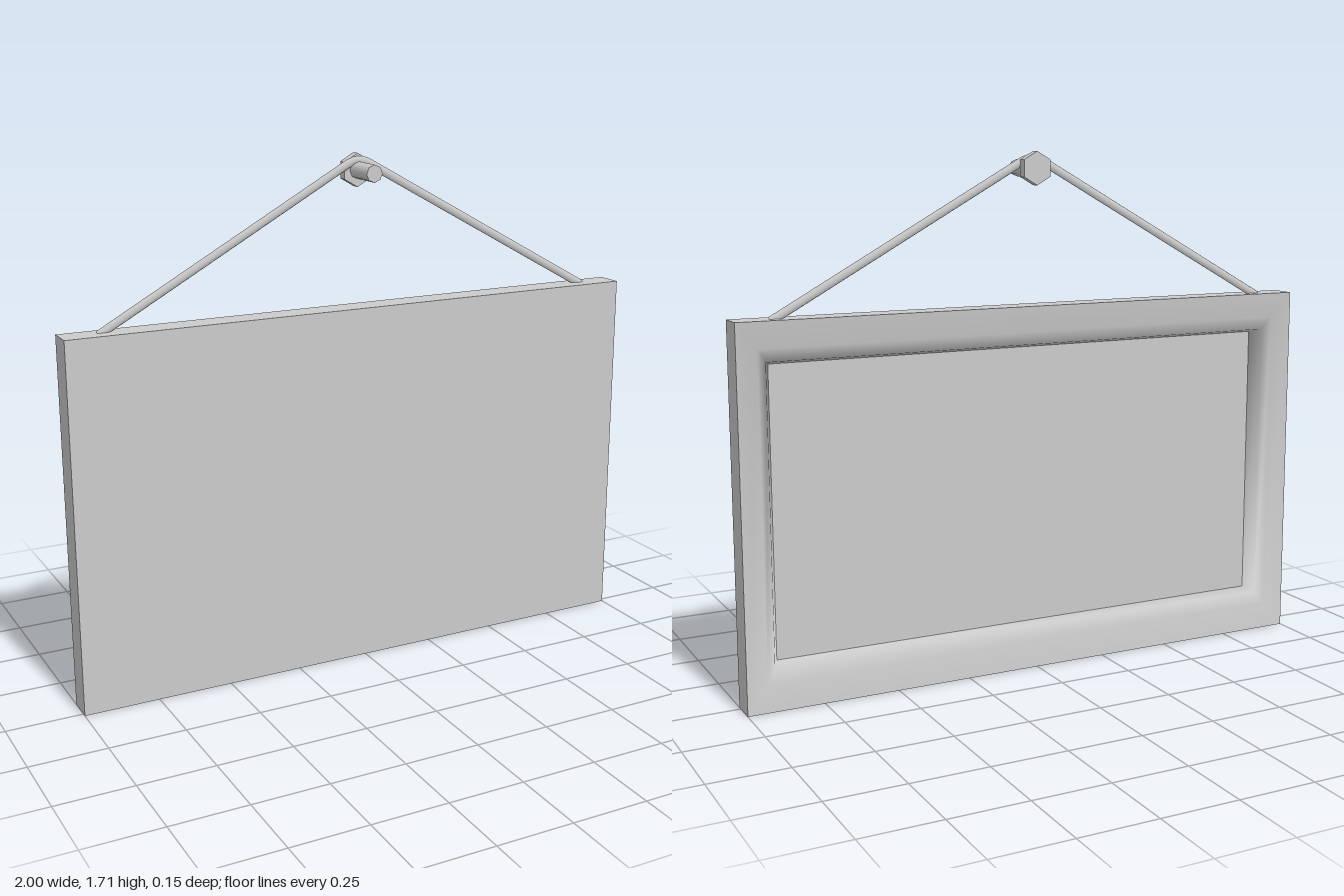
import * as THREE from 'three';

const W = 1, H = 1.215, BACK = -0.075;
const material = new THREE.MeshStandardMaterial({ color: 0xcccccc });

function add(parent, name, geometry, x = 0, y = 0, z = 0) {
  const mesh = new THREE.Mesh(geometry, material);
  mesh.name = name;
  mesh.position.set(x, y, z);
  parent.add(mesh);
  return mesh;
}

// Skin of rectangular rings, each given as [side inset, top and bottom inset, z]
function rectangularRings(profile) {
  const positions = [], index = [];
  for (const [ix, iy, z] of profile) {
    const x = W - ix;
    positions.push(-x, iy, z, x, iy, z, x, H - iy, z, -x, H - iy, z);
  }
  for (let r = 0; r < profile.length - 1; r++) {
    for (let i = 0; i < 4; i++) {
      const a = r * 4 + i, b = r * 4 + (i + 1) % 4;
      index.push(a, b + 4, b, a, a + 4, b + 4);
    }
  }
  const geometry = new THREE.BufferGeometry();
  geometry.setAttribute('position', new THREE.Float32BufferAttribute(positions, 3));
  geometry.setIndex(index);
  geometry.computeVertexNormals();
  return geometry;
}

function flat(geometry) {
  const g = geometry.toNonIndexed();
  g.computeVertexNormals();
  return g;
}

export function createModel() {
  const model = new THREE.Group();
  model.name = 'hangingSign';

  // Board: front panel, outer walls and softly sloped back moulding
  const board = new THREE.Group();
  board.name = 'board';
  model.add(board);
  add(board, 'frontPanel', new THREE.BoxGeometry(2 * W, H, 0.015), 0, H / 2, 0.0075);
  add(board, 'frameSides', flat(rectangularRings([[0, 0, BACK], [0, 0, 0]]).scale(1, 1, 1)))
    .geometry = flat(rectangularRings([[0, 0, 0], [0, 0, BACK]]));
  board.getObjectByName('frameSides').geometry.computeBoundingSphere();
  add(board, 'backMoulding', rectangularRings([
    [0, 0, BACK], [0.07, 0.085, -0.062], [0.1, 0.128, -0.045], [0.12, 0.14, 0],
  ]));

  // Cord: two straight runs with a small bend over the peg, flattened in depth
  const path = new THREE.CurvePath();
  const v = (x, y) => new THREE.Vector3(x, y, 0);
  path.add(new THREE.LineCurve3(v(-0.88, 1.204), v(-0.04, 1.669)));
  path.add(new THREE.QuadraticBezierCurve3(v(-0.04, 1.669), v(0, 1.691), v(0.04, 1.669)));
  path.add(new THREE.LineCurve3(v(0.04, 1.669), v(0.88, 1.204)));
  const cord = new THREE.TubeGeometry(path, 120, 0.014, 8, false);
  cord.scale(1, 1, 0.5);
  add(model, 'cord', cord, 0, 0.004, -0.036);

  // Peg with a hexagonal head
  const peg = new THREE.Group();
  peg.name = 'peg';
  peg.position.y = 1.653;
  model.add(peg);
  add(peg, 'pegShaft', new THREE.CylinderGeometry(0.028, 0.028, 0.12, 8).rotateX(Math.PI / 2), 0, 0, 0.015);
  add(peg, 'pegHead', flat(new THREE.CylinderGeometry(0.054, 0.054, 0.03, 6).rotateX(Math.PI / 2)), 0, 0, -0.055);

  return model;
}
